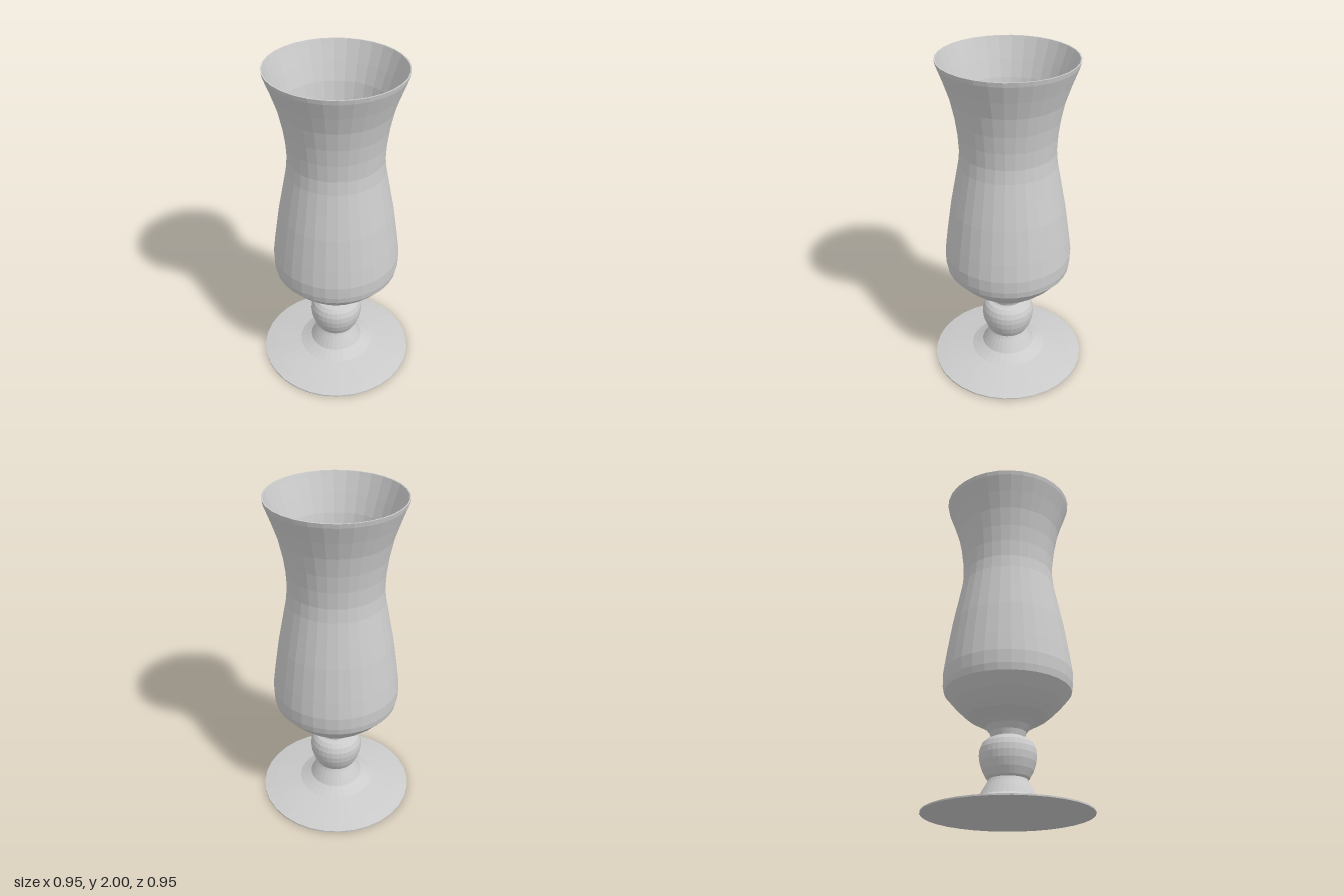
import * as THREE from 'three';

const SIDES = 32;

export function createModel() {
  const group = new THREE.Group();
  const material = new THREE.MeshStandardMaterial({ color: 0xcccccc, flatShading: true });

  // Turns a [radius, height] profile around the y axis
  const turn = (name, profile) => {
    const points = profile.map(([r, y]) => new THREE.Vector2(r, y));
    const mesh = new THREE.Mesh(new THREE.LatheGeometry(points, SIDES), material);
    mesh.name = name;
    group.add(mesh);
  };

  // Wide flat foot rising into a flared collar
  turn('foot', [
    [0, 0], [0.475, 0], [0.475, 0.008], [0.4, 0.024], [0.235, 0.054],
    [0.2, 0.072], [0.165, 0.092], [0.14, 0.135], [0.118, 0.172], [0.11, 0.19],
  ]);

  // Rounded knop and narrow waist below the bowl
  turn('stem', [
    [0.11, 0.19], [0.122, 0.2], [0.143, 0.24], [0.158, 0.285], [0.163, 0.325],
    [0.16, 0.36], [0.147, 0.392], [0.128, 0.412], [0.103, 0.42], [0.096, 0.428],
    [0.105, 0.46], [0.13, 0.493],
  ]);

  // Bowl: outer wall
  turn('bowlOutside', [
    [0.13, 0.493], [0.168, 0.515], [0.23, 0.55], [0.265, 0.58], [0.315, 0.63],
    [0.37, 0.695], [0.378, 0.735], [0.38, 0.81], [0.366, 0.92], [0.336, 1.12],
    [0.305, 1.28], [0.284, 1.39], [0.276, 1.47], [0.281, 1.57], [0.294, 1.67],
    [0.317, 1.78], [0.35, 1.88], [0.385, 1.975], [0.39, 2],
  ]);

  // Bowl: rim and inner wall, running down to the flat floor
  turn('bowlInside', [
    [0.39, 2], [0.382, 2], [0.373, 1.975], [0.338, 1.88], [0.304, 1.78],
    [0.281, 1.67], [0.268, 1.57], [0.262, 1.47], [0.27, 1.39], [0.291, 1.28],
    [0.322, 1.12], [0.352, 0.92], [0.366, 0.81], [0.364, 0.735], [0.356, 0.7],
    [0.303, 0.64], [0.255, 0.593], [0.222, 0.566], [0.175, 0.545], [0, 0.545],
  ]);

  return group;
}
